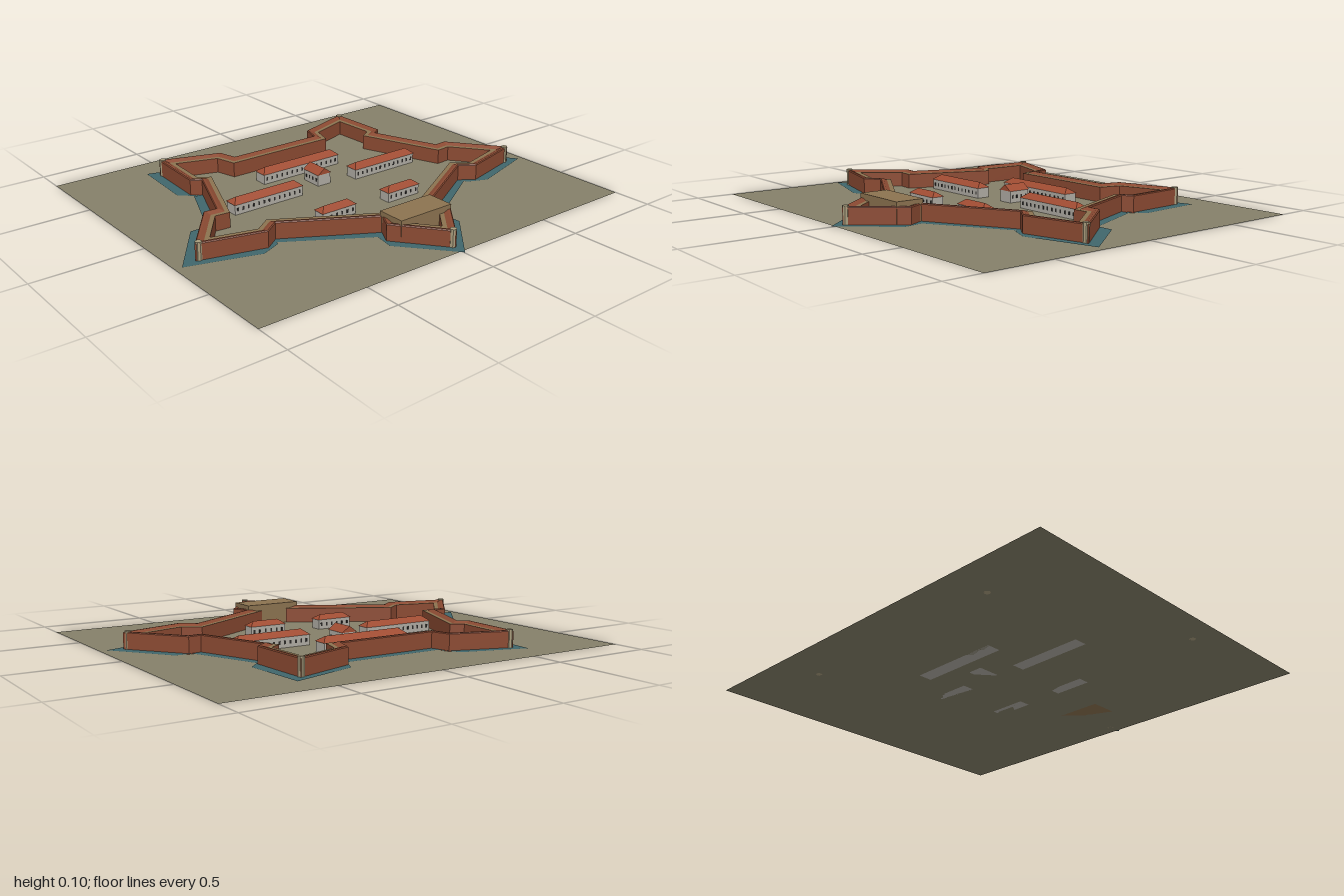
import * as THREE from 'three';
import { mergeGeometries } from 'three/addons/utils/BufferGeometryUtils.js';

const mat = (color, side = THREE.FrontSide) =>
  new THREE.MeshStandardMaterial({ color, side, flatShading: true });
const brick = mat(0x8b4a32), roofRed = mat(0xa04c32), stone = mat(0xa89c7c);
const walkTan = mat(0x8c7350), plaster = mat(0xb0aca4), dark = mat(0x2c2a28);
const earth = mat(0x858069, THREE.DoubleSide), water = mat(0x40666c, THREE.DoubleSide);

function add(parent, name, geometry, material, x = 0, y = 0, z = 0) {
  const mesh = new THREE.Mesh(geometry, material);
  mesh.name = name;
  mesh.position.set(x, y, z);
  parent.add(mesh);
  return mesh;
}

// Geometry from a list of four-cornered faces
function quads(list) {
  const pos = [];
  for (const [a, b, c, d] of list) pos.push(...a, ...b, ...c, ...a, ...c, ...d);
  const g = new THREE.BufferGeometry();
  g.setAttribute('position', new THREE.Float32BufferAttribute(pos, 3));
  g.computeVertexNormals();
  return g;
}

// Outer wall line, +x half, from the front tip round to the back curtain
const half = [
  [0, 0.79], [0.18, 0.565], [0.14, 0.49], [0.53, 0.265], [0.6, 0.315], [0.9, 0.235],
  [0.705, -0.015], [0.645, -0.01], [0.52, -0.33], [0.565, -0.36], [0.55, -0.67],
  [0.265, -0.575], [0.24, -0.485],
];
const outline = [...half, ...half.slice(1).reverse().map(([x, z]) => [-x, z])];

// Outline moved inward by t with mitred corners
function inset(points, t) {
  const n = points.length;
  const normal = (p, q) => {
    const dx = q[0] - p[0], dz = q[1] - p[1], l = Math.hypot(dx, dz);
    return [dz / l, -dx / l];
  };
  return points.map((p, i) => {
    const a = normal(points[(i + n - 1) % n], p), b = normal(p, points[(i + 1) % n]);
    const k = t / (1 + a[0] * b[0] + a[1] * b[1]);
    return [p[0] + (a[0] + b[0]) * k, p[1] + (a[1] + b[1]) * k];
  });
}

// Sweep a profile of [inset, height] pairs round the outline
function sweep(profile) {
  const rings = profile.map(([t, y]) => inset(outline, t).map(([x, z]) => [x, y, z]));
  const faces = [];
  for (let k = 0; k < rings.length - 1; k++)
    outline.forEach((_, i) => {
      const j = (i + 1) % outline.length;
      faces.push([rings[k][i], rings[k][j], rings[k + 1][j], rings[k + 1][i]]);
    });
  return quads(faces);
}

// Hipped or gabled roof: a box with its top drawn in to a ridge along x
function roofGeometry(w, h, d, hip) {
  const g = new THREE.BoxGeometry(w, h, d);
  const p = g.attributes.position;
  for (let i = 0; i < p.count; i++)
    if (p.getY(i) > 0) {
      p.setZ(i, 0);
      p.setX(i, Math.sign(p.getX(i)) * (w / 2 - hip));
    }
  g.computeVertexNormals();
  return g;
}

function building(name, x, z, w, d, wallH, roofH, hip) {
  const group = new THREE.Group();
  group.name = name;
  group.position.set(x, 0, z);
  add(group, 'buildingWalls', new THREE.BoxGeometry(w - 0.008, wallH, d - 0.008), plaster, 0, wallH / 2);
  add(group, 'roof', roofGeometry(w, roofH, d, hip), roofRed, 0, wallH + roofH / 2);
  // Windows along both long sides
  const count = Math.max(2, Math.round(w / 0.03)), windows = [];
  for (let i = 0; i < count; i++)
    for (const s of [-1, 1])
      windows.push(new THREE.BoxGeometry(0.009, 0.016, 0.002)
        .translate(((i + 0.5) / count - 0.5) * (w - 0.01), wallH * 0.5, s * (d / 2 - 0.004)));
  add(group, 'windows', mergeGeometries(windows), dark);
  return group;
}

export function createModel() {
  const fort = new THREE.Group();
  fort.name = 'starFort';

  // Ground
  add(fort, 'ground', new THREE.PlaneGeometry(2, 1.68).rotateX(-Math.PI / 2), earth, 0, 0, -0.015);

  // Moat strips along the bastion faces and curtains
  const strips = [
    [[0, 0.79], [0.18, 0.565], [0.2, 0.61], [0, 0.845]],
    [[0.18, 0.565], [0.14, 0.49], [0.185, 0.52], [0.2, 0.61]],
    [[0.14, 0.49], [0.53, 0.265], [0.55, 0.29], [0.175, 0.52]],
    [[0.53, 0.265], [0.6, 0.315], [0.645, 0.35], [0.55, 0.31]],
    [[0.6, 0.315], [0.9, 0.235], [0.97, 0.25], [0.645, 0.35]],
    [[0.9, 0.235], [0.705, -0.015], [0.77, -0.02], [0.97, 0.25]],
    [[0.705, -0.015], [0.645, -0.01], [0.68, -0.02], [0.77, -0.02]],
    [[0.645, -0.01], [0.52, -0.33], [0.56, -0.34], [0.69, -0.02]],
    [[0.565, -0.36], [0.55, -0.67], [0.595, -0.72], [0.615, -0.4]],
    [[0.565, -0.36], [0.52, -0.33], [0.56, -0.345], [0.615, -0.4]],
    [[0.55, -0.67], [0.265, -0.575], [0.285, -0.625], [0.595, -0.72]],
    [[0.265, -0.575], [0.24, -0.485], [0.24, -0.53], [0.285, -0.625]],
  ];
  const moat = [[[-0.24, -0.485], [0.24, -0.485], [0.24, -0.53], [-0.24, -0.53]]];
  for (const s of strips) moat.push(s, s.map(([x, z]) => [-x, z]).reverse());
  add(fort, 'moat', quads(moat.map(s => s.map(([x, z]) => [x, 0.003, z]))), water);

  // Rampart: brick scarp and parapet, wall walk, inner face
  const rampart = new THREE.Group();
  rampart.name = 'rampart';
  fort.add(rampart);
  add(rampart, 'scarpAndParapet',
    sweep([[0, 0], [0, 0.076], [0.004, 0.08], [0.014, 0.08], [0.032, 0.071]]), brick);
  add(rampart, 'wallWalk', sweep([[0.032, 0.071], [0.052, 0.071]]), walkTan);
  add(rampart, 'innerWall', sweep([[0.052, 0.071], [0.052, 0]]), brick);

  // Watch turrets on the bastion tips
  for (const [x, z] of [[0, 0.773], [0.88, 0.231], [-0.88, 0.231], [0.54, -0.656], [-0.54, -0.656]])
    add(fort, 'turret', new THREE.CylinderGeometry(0.015, 0.015, 0.084, 8), stone, x, 0.042, z);

  // Gatehouse across the neck of the front bastion
  add(fort, 'gatehouse', new THREE.BoxGeometry(0.284, 0.1, 0.135), walkTan, 0, 0.05, 0.546);

  // Barracks, storehouses and chapel
  fort.add(building('mainBarracks', 0, -0.297, 0.45, 0.075, 0.048, 0.024, 0.03));
  for (const s of [-1, 1]) {
    fort.add(building('sideBarracks', s * 0.342, -0.08, 0.375, 0.072, 0.048, 0.024, 0.03));
    fort.add(building('storehouse', s * 0.187, 0.233, 0.19, 0.065, 0.046, 0.022, 0.03));
  }
  const chapel = building('chapel', 0, -0.142, 0.115, 0.08, 0.055, 0.028, 0);
  chapel.rotation.y = Math.PI / 2;
  fort.add(chapel);

  return fort;
}
